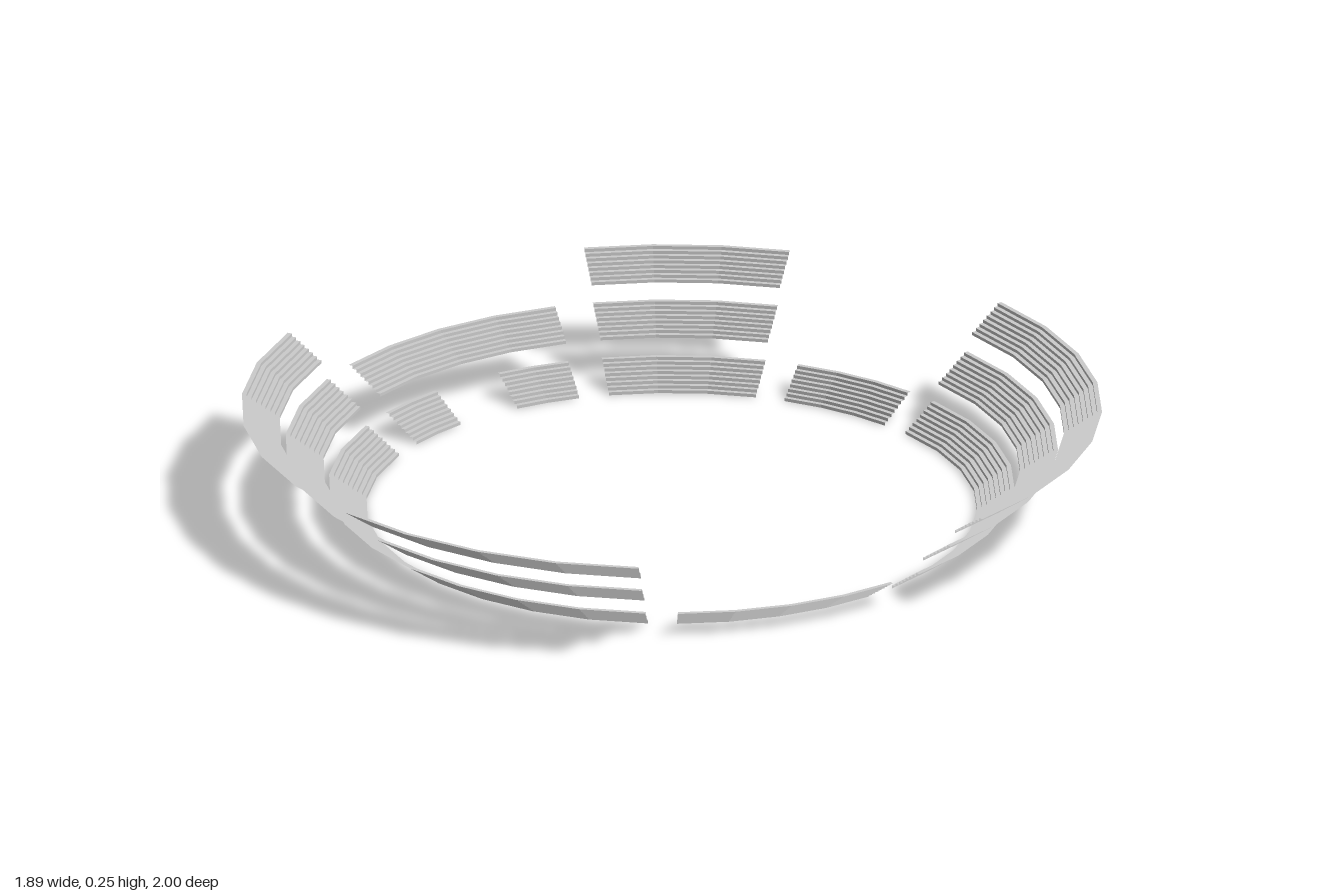
import * as THREE from 'three';

const STEPS = 8;

// Each tier is a stepped ring; arcs are [start degrees, end degrees, facets],
// measured from +x towards +z.
const frontStand = [41.8, 154.4, 10];
const backLeftStand = [267.3, 351.2, 8];
const backRightStand = [205.6, 233.4, 3];

const tiers = [
  {
    name: 'lowerTier', y: 0, height: 0.06, inner: 0.71, outer: 0.797,
    arcs: [frontStand, backLeftStand, backRightStand,
      [-2.9, 36.3, 4], [161, 173.8, 2], [187, 199.8, 2], [239.1, 261.6, 3]],
  },
  {
    name: 'middleTier', y: 0.098, height: 0.06, inner: 0.81, outer: 0.898,
    arcs: [frontStand, backLeftStand, backRightStand, [160.8, 199.8, 4]],
  },
  {
    name: 'upperTier', y: 0.195, height: 0.06, inner: 0.912, outer: 1,
    arcs: [frontStand, backLeftStand, backRightStand],
  },
];

// Stair section from the top outer edge down to the bottom inner edge
function stairProfile({ inner, outer, height }) {
  const points = [];
  for (let i = STEPS; i > 0; i--) {
    const top = (height * i) / STEPS;
    points.push(
      new THREE.Vector2(THREE.MathUtils.lerp(inner, outer, i / STEPS), top),
      new THREE.Vector2(THREE.MathUtils.lerp(inner, outer, (i - 1) / STEPS), top),
    );
  }
  points.push(new THREE.Vector2(inner, 0));
  return points;
}

export function createModel() {
  const model = new THREE.Group();
  model.name = 'seatingBowl';
  const material = new THREE.MeshStandardMaterial({
    color: 0xcccccc, flatShading: true, side: THREE.DoubleSide,
  });

  for (const tier of tiers) {
    const group = new THREE.Group();
    group.name = tier.name;
    // The gaps on the +x side put the ring centre slightly off the middle
    group.position.set(-0.043, tier.y, 0);
    const profile = stairProfile(tier);
    tier.arcs.forEach(([start, end, facets], i) => {
      const block = new THREE.Mesh(
        new THREE.LatheGeometry(profile, facets,
          THREE.MathUtils.degToRad(90 - end), THREE.MathUtils.degToRad(end - start)),
        material,
      );
      block.name = `${tier.name}Block${i + 1}`;
      group.add(block);
    });
    model.add(group);
  }
  return model;
}
